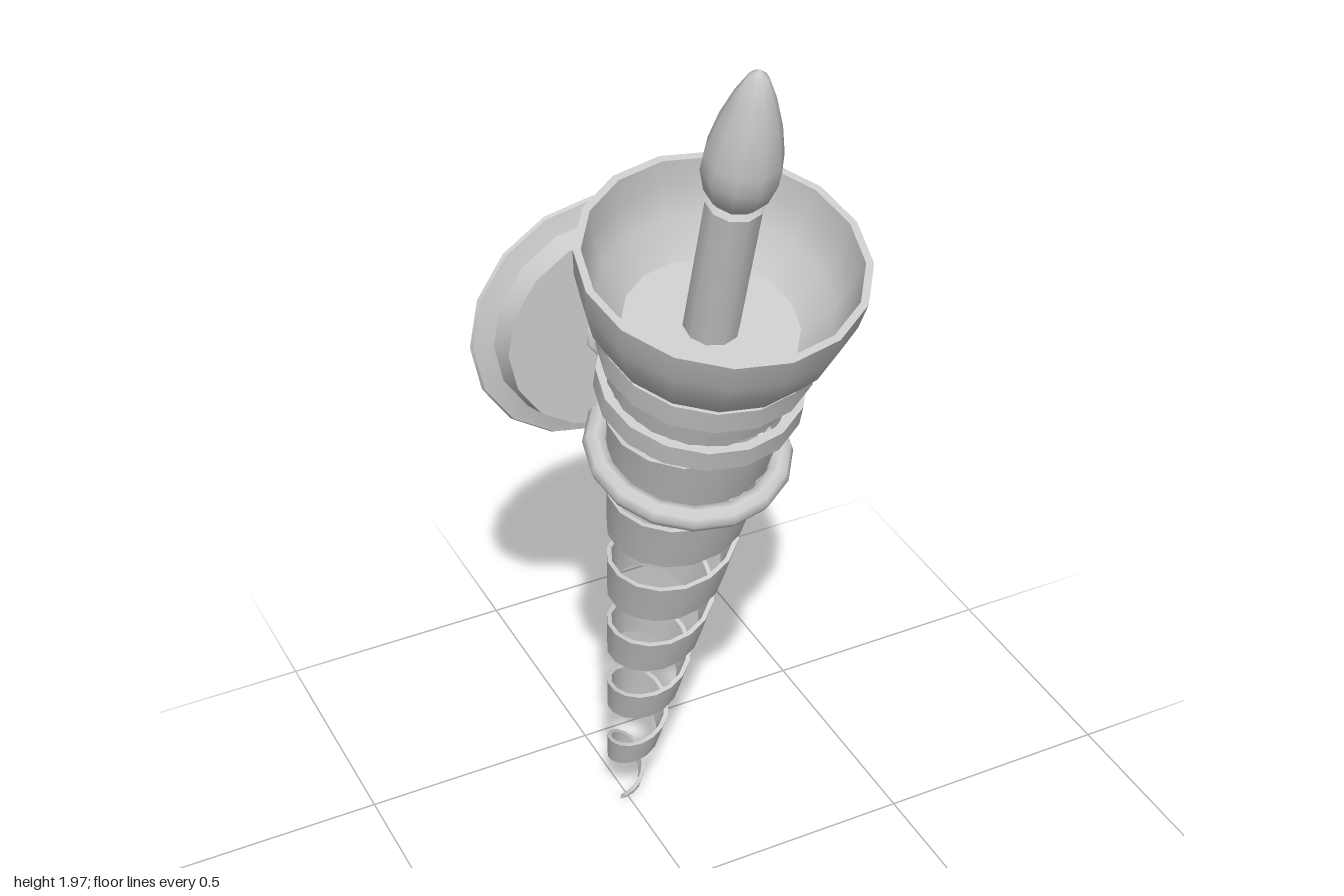
import * as THREE from 'three';
import { toCreasedNormals, mergeVertices } from 'three/addons/utils/BufferGeometryUtils.js';

const grey = new THREE.MeshStandardMaterial({ color: 0xcccccc, side: THREE.DoubleSide });
const RAD = Math.PI / 180;

function part(name, geometry, parent, crease = 35) {
  const mesh = new THREE.Mesh(toCreasedNormals(geometry, crease * RAD), grey);
  mesh.name = name;
  parent.add(mesh);
  return mesh;
}

// Turned shape from [radius, height] points
function turned(points, sides = 16, start = 0, length = Math.PI * 2) {
  return new THREE.LatheGeometry(points.map(p => new THREE.Vector2(...p)), sides, start, length);
}

// Rectangular hoop section: radius, bottom, top, thickness
const hoop = (r, y0, y1, t) => [[r - t, y0], [r, y0], [r, y1], [r - t, y1], [r - t, y0]];

// Tapering ribbon wound round a cone
function ribbonGeometry() {
  const pitch = 0.199, steps = 16, thick = 0.009, top = -0.165;
  const bottom = -1.625, end = -0.12;
  const count = Math.round((end - bottom) / pitch * steps);
  const coneRadius = y => Math.max(0.012, 0.16 + 0.105 * (y + 0.42));
  const pos = [], index = [];
  for (let i = 0; i <= count; i++) {
    const s = bottom + i * pitch / steps;
    const angle = ((s + 0.86) / pitch) * Math.PI * 2 - Math.PI / 2;
    const taper = Math.min(1, 0.06 + (s - bottom) / 0.16);
    const half = 0.5 * taper * (0.074 + 0.055 * (s + 1.46));
    const lo = Math.min(top - 0.002, s - half), hi = Math.min(top, s + half);
    for (const [y, inset] of [[lo, 0], [hi, 0], [hi, thick], [lo, thick]]) {
      const r = coneRadius(y) - inset;
      pos.push(Math.sin(angle) * r, y, Math.cos(angle) * r);
    }
    if (i < count) {
      for (let k = 0; k < 4; k++) {
        const a = i * 4 + k, d = i * 4 + (k + 1) % 4;
        index.push(a, a + 4, d + 4, a, d + 4, d);
      }
    }
  }
  const e = count * 4;
  index.push(0, 1, 2, 0, 2, 3, e, e + 2, e + 1, e, e + 3, e + 2);
  const g = new THREE.BufferGeometry();
  g.setAttribute('position', new THREE.Float32BufferAttribute(pos, 3));
  g.setIndex(index);
  return mergeVertices(g);
}

export function createModel() {
  const model = new THREE.Group();
  model.name = 'wallTorch';

  // Leaning torch, with its origin at the centre of the cup rim
  const torch = new THREE.Group();
  torch.name = 'torch';
  torch.position.set(0, 1.6, 0.143);
  torch.rotation.x = 16 * RAD;
  model.add(torch);

  // Cup with a flat floor
  part('cup', turned([
    [0, -0.18], [0.19, -0.18], [0.205, -0.165], [0.232, -0.118], [0.249, -0.06], [0.257, 0],
    [0.243, 0], [0.233, -0.05], [0.21, -0.11], [0.158, -0.168], [0, -0.168],
  ]), torch);

  // Candle and flame-shaped bulb
  part('candle', turned([[0, -0.17], [0.051, -0.17], [0.051, 0.128], [0.042, 0.137], [0, 0.137]], 10), torch, 40);
  part('bulb', turned([
    [0, 0.13], [0.036, 0.13], [0.057, 0.155], [0.069, 0.2], [0.067, 0.235], [0.055, 0.295],
    [0.036, 0.355], [0.017, 0.398], [0, 0.413],
  ], 10), torch, 50);

  // Two bands round the neck
  part('upperBand', turned(hoop(0.196, -0.23, -0.182, 0.018)), torch);
  part('lowerBand', turned(hoop(0.19, -0.337, -0.292, 0.018)), torch);

  // Spiral body
  part('spiralBody', ribbonGeometry(), torch, 40);

  // Back strap joining the bands to the holding ring
  part('backStrap', turned(hoop(0.188, -0.49, -0.185, 0.009), 4, 160 * RAD, 40 * RAD), torch);

  // Holding ring
  const ring = new THREE.TorusGeometry(0.172, 0.023, 8, 16);
  ring.rotateX(Math.PI / 2);
  part('holdingRing', ring, torch, 60);

  torch.getObjectByName('holdingRing').position.y = -0.491;

  // Arm from the ring to the wall plate
  const from = new THREE.Vector3(0, 1.175, -0.165), to = new THREE.Vector3(0, 1.19, -0.315);
  const arm = part('arm', new THREE.CylinderGeometry(0.02, 0.02, from.distanceTo(to), 8), model, 50);
  arm.position.copy(from).add(to).multiplyScalar(0.5);
  arm.quaternion.setFromUnitVectors(new THREE.Vector3(0, 1, 0), to.clone().sub(from).normalize());

  // Wall plate, hollow behind, and its boss
  const plate = turned([
    [0, -0.342], [0.193, -0.342], [0.205, -0.39], [0.262, -0.39], [0.258, -0.384],
    [0.225, -0.377], [0.219, -0.375], [0.208, -0.33], [0, -0.33],
  ]);
  const boss = turned([[0, -0.335], [0.036, -0.335], [0.052, -0.321], [0.05, -0.317], [0.028, -0.307], [0, -0.307]], 10);
  for (const [name, g] of [['wallPlate', plate], ['boss', boss]]) {
    g.rotateX(Math.PI / 2);
    part(name, g, model).position.y = 1.188;
  }
  return model;
}
